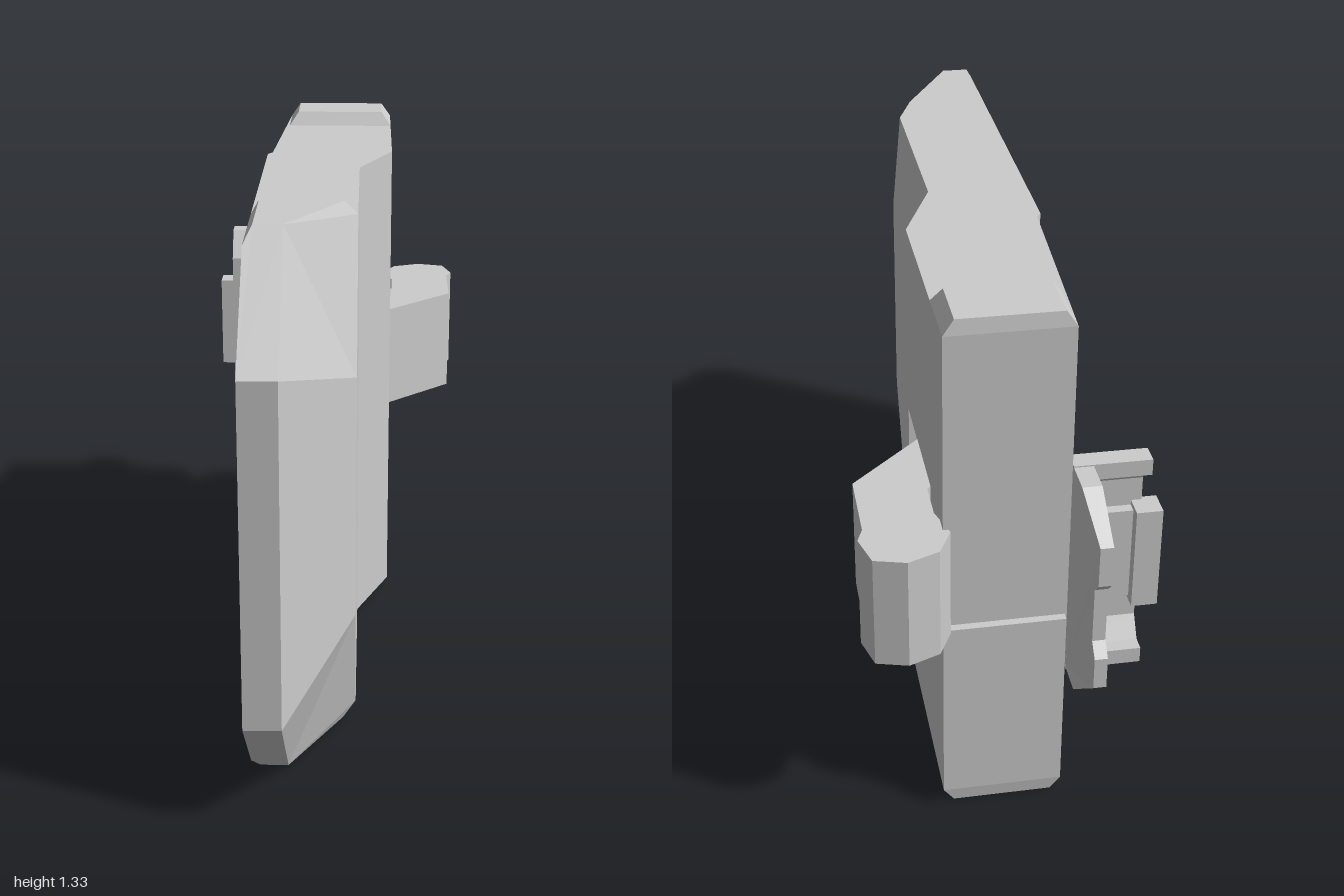
import * as THREE from 'three';

const MID = 0.6665; // height of the horizontal mirror plane

function material() {
  return new THREE.MeshStandardMaterial({ color: 0xcccccc, flatShading: true });
}

// Faces given as corner loops for the upper half (v = height above MID), mirrored below
function mirroredFaces(P, faces) {
  const pos = [];
  const put = (p, s) => pos.push(p[0], MID + s * p[1], p[2]);
  for (const face of faces) {
    const c = face.split(' ').map((n) => {
      if (P[n]) return P[n];
      const q = P[n.slice(0, -1)]; // a name ending in 0 lies on the mirror plane
      return [q[0], 0, q[2]];
    });
    for (let i = 1; i < c.length - 1; i++) {
      [c[0], c[i], c[i + 1]].forEach((p) => put(p, 1));
      [c[0], c[i + 1], c[i]].forEach((p) => put(p, -1));
    }
  }
  const g = new THREE.BufferGeometry();
  g.setAttribute('position', new THREE.Float32BufferAttribute(pos, 3));
  g.computeVertexNormals();
  return g;
}

const toShape = (pts) => new THREE.Shape(pts.map((p) => new THREE.Vector2(p[0], p[1])));
const extrude = (shape, depth) => new THREE.ExtrudeGeometry(shape, { depth, bevelEnabled: false });

// Outline in (x, z), extruded upward from y0 to y1
function extrudeY(pts, y0, y1) {
  const g = extrude(toShape(pts.map(([x, z]) => [x, -z])), y1 - y0);
  return g.rotateX(-Math.PI / 2).translate(0, y0, 0);
}

// Outline in (z, y), extruded sideways from x0 to x1
function extrudeX(pts, x0, x1, hole) {
  const flip = (a) => a.map(([z, y]) => [-z, y]);
  const s = toShape(flip(pts));
  if (hole) s.holes.push(new THREE.Path(flip(hole).map((p) => new THREE.Vector2(...p))));
  return extrude(s, x1 - x0).rotateY(Math.PI / 2).translate(x0, 0, 0);
}

function box(x0, x1, y0, y1, z0, z1) {
  return new THREE.BoxGeometry(x1 - x0, y1 - y0, z1 - z0)
    .translate((x0 + x1) / 2, (y0 + y1) / 2, (z0 + z1) / 2);
}

const rect = (z0, z1, h) => [[z0, MID - h], [z1, MID - h], [z1, MID + h], [z0, MID + h]];

export function createModel() {
  const group = new THREE.Group();
  const add = (name, geometry) => {
    const mesh = new THREE.Mesh(geometry, material());
    mesh.name = name;
    group.add(mesh);
  };

  // Outer corners in capitals, hollow inside corners in lower case
  const P = {
    A: [-0.088, 0.407, 1], B: [-0.175, 0.407, 1], C: [0.071, 0.297, 0.65],
    D: [-0.088, 0.6665, 0.72], E: [-0.155, 0.6665, 0.72], F: [-0.175, 0.63, 0.76],
    G: [0.071, 0.63, 0.47], H: [0.04, 0.6665, 0.49], I: [-0.155, 0.6665, 0.49],
    J: [-0.175, 0.63, 0.47], K: [0.071, 0.63, -0.04], L: [0.156, 0.63, -0.25],
    M: [0.156, 0.63, -0.79], N: [-0.135, 0.63, -0.79],
    O: [-0.175, 0.63, -0.21], O2: [-0.163, 0.63, -0.23],
    // arm recess, and the shallow band across the back
    S: [0.156, 0.14, -0.25], T: [0.156, 0.14, -0.4], V: [0, 0.14, -0.25],
    U: [0.156, 0.14, -0.79], U2: [0.156, 0.14, -0.77],
    N1: [-0.135, 0.14, -0.79], N2: [-0.135, 0.14, -0.77],
    // rear lug
    Q: [-0.135, 0.63, -0.62], R: [0.156, 0.63, -0.62],
    W: [-0.11, 0.6665, -0.64], X: [0.13, 0.6665, -0.64], Y: [0.13, 0.6665, -0.785], Z: [-0.11, 0.6665, -0.785],
    // inside
    a: [-0.12, 0.39, 0.96], b: [-0.175, 0.39, 0.96],
    d: [-0.12, 0.59, 0.74], f: [-0.175, 0.59, 0.74], g: [0.03, 0.59, 0.47],
    j: [-0.175, 0.59, 0.47], k: [0.03, 0.59, -0.2], l: [0.06, 0.59, -0.23],
    m: [0.06, 0.59, -0.76], n: [-0.135, 0.59, -0.76],
    o: [-0.175, 0.59, -0.21], o2: [-0.163, 0.59, -0.23],
    n1: [-0.135, 0.14, -0.76],
    h: [-0.04, 0.17, -0.19], e: [0, 0.17, -0.23],
  };

  add('shieldOuter', mirroredFaces(P, [
    'A0 C0 C A', 'A C D', 'D C G H', 'C0 K0 K G C', 'K0 L0 L K',
    'S U M L', 'T0 U20 U2 T', 'S0 V0 V S', 'S V T',
    'B0 A0 A B', 'B A D E F', 'J G K L M N O2 O',
    'U N1 N M', 'U20 N20 N2 U2', 'U U2 N2 N1',
  ]));
  add('frontLugs', mirroredFaces(P, ['E D H I', 'F E I J', 'G J I H']));
  add('rearLugs', mirroredFaces(P, ['W X Y Z', 'Q R X W', 'R M Y X', 'M N Z Y', 'N Q W Z']));
  add('shieldRim', mirroredFaces(P, [
    'B0 B b b0', 'B F f b', 'F J j f', 'J O o j', 'O O2 o2 o', 'O2 N n o2',
    'N N1 n1 n', 'N2 N20 n10 n1',
  ]));
  // Hollow: walls, then a floor rising to the socket, then the deeper rear pocket
  add('shieldInside', mirroredFaces(P, [
    'b0 b a a0', 'b f d a', 'f j g d', 'j o o2 n m l k g', 'n n0 m0 m',
    'a0 a h h0', 'a d g', 'a g h', 'g k h',
    'k l e h', 'h0 h e e0', 'e0 e l m m0',
  ]));

  // Arm rising out of the recess and ending in a rounded grip
  add('armGrip', extrudeY([
    [0, -0.25], [0.333, -0.57], [0.333, -0.76], [0.348, -0.8], [0.325, -0.88], [0.25, -0.9],
    [0.175, -0.87], [0.14, -0.8], [0.165, -0.72], [0.165, -0.62], [0.15, -0.6], [0, -0.6],
  ], 0.527, 0.81));

  // Socket behind the arm, on the hollow side
  add('socketFrame', extrudeX(rect(-0.765, -0.19, 0.17), -0.13, 0.06, rect(-0.71, -0.25, 0.142)));
  add('socketFloor', box(-0.07, 0, 0.524, 0.809, -0.72, -0.25));

  // Notched plate sticking out at the back, thinner towards its tip
  const plate = extrudeX([
    [-0.79, 0.95], [-0.88, 0.95], [-1, 0.87], [-1, 0.77], [-0.97, 0.74],
    [-0.97, 0.6], [-1, 0.57], [-1, 0.49], [-0.88, 0.39], [-0.79, 0.39],
  ], -0.18, -0.135);
  const pp = plate.attributes.position;
  for (let i = 0; i < pp.count; i++) {
    if (pp.getX(i) > -0.15 && pp.getZ(i) < -0.9) pp.setX(i, -0.15);
  }
  add('notchedPlate', plate);

  // Bracket: a channel open to the back, with chamfered front corners
  add('bracket', extrudeX([
    [-0.8, 0.953], [-0.75, 0.953], [-0.7, 0.877], [-0.7, 0.46], [-0.75, 0.385], [-0.8, 0.385],
    [-0.8, 0.425], [-0.765, 0.425], [-0.73, 0.475], [-0.73, 0.862], [-0.765, 0.913], [-0.8, 0.913],
  ], -0.315, -0.135));
  add('crossBar', box(-0.3, -0.13, 0.55, 0.79, -0.755, -0.72));
  add('crossBarEnd', box(-0.352, -0.29, 0.54, 0.802, -0.785, -0.72));
  add('peg', new THREE.CylinderGeometry(0.035, 0.035, 0.1, 10)
    .rotateX(Math.PI / 2).translate(-0.23, 0.66, -0.67));

  return group;
}
